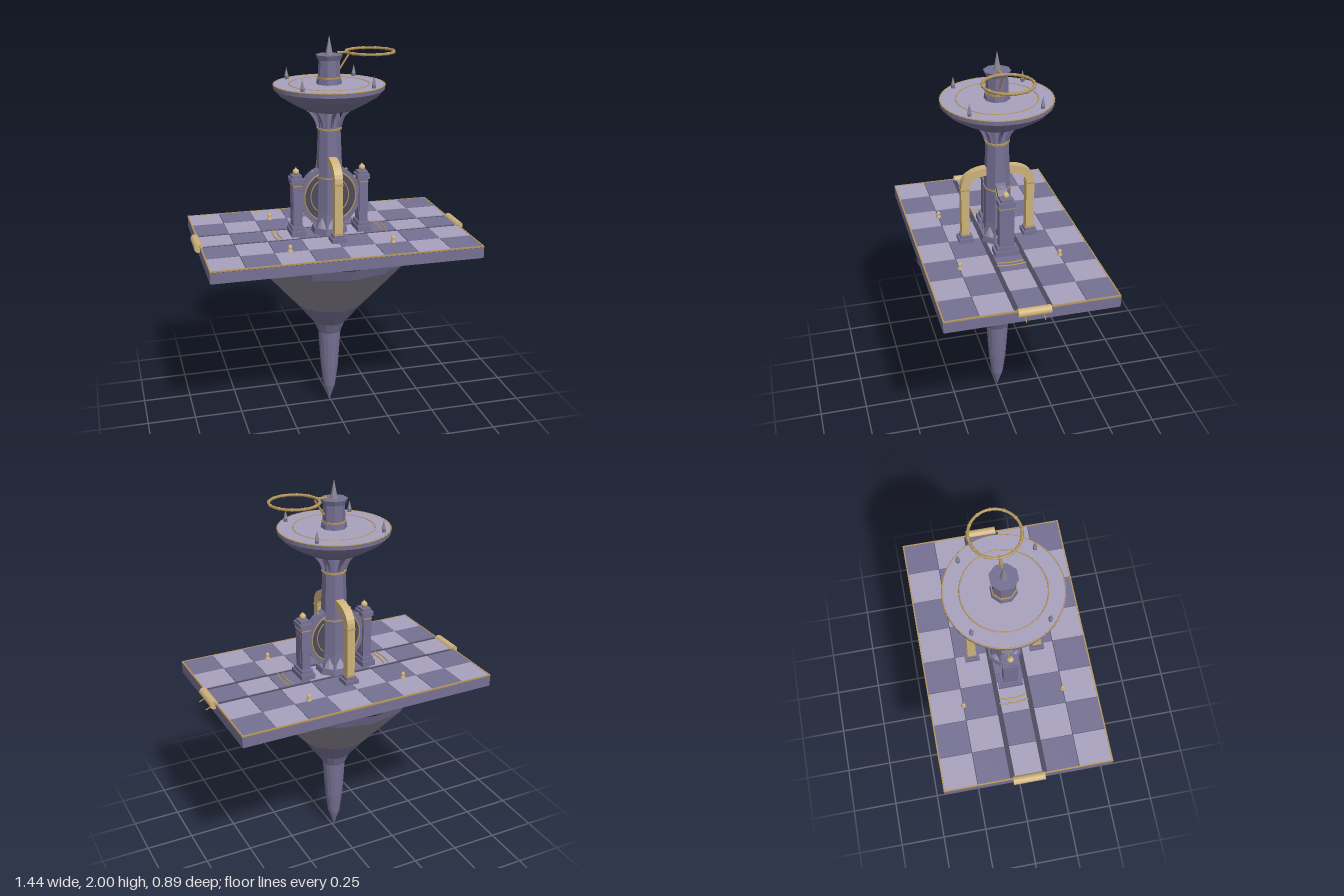
import * as THREE from 'three';

const mat = (name, color, flatShading = false) =>
  Object.assign(new THREE.MeshStandardMaterial({ color }), { name, flatShading });

export function createModel() {
  const M = {
    light: mat('paleStone', 0xa8a1bd, true),
    dark: mat('violetStone', 0x757093, true),
    rock: mat('greyRock', 0x8a8593, true),
    gold: mat('brass', 0xb5965a),
    pale: mat('paleBrass', 0xcdb27c),
    groove: mat('shadowStone', 0x4c495c, true),
  };
  const root = new THREE.Group();
  root.name = 'floatingTower';
  root.position.set(-0.009, 0, -0.004);

  const add = (name, geo, m, x = 0, y = 0, z = 0, parent = root) => {
    const mesh = new THREE.Mesh(geo, m);
    mesh.name = name;
    mesh.position.set(x, y, z);
    parent.add(mesh);
    return mesh;
  };
  const box = (name, w, h, d, m, x, y, z, p) => add(name, new THREE.BoxGeometry(w, h, d), m, x, y, z, p);
  const ring = (name, r, t, y) => {
    const o = add(name, new THREE.TorusGeometry(r, t, 6, 48), M.gold, 0, y, 0);
    o.rotation.x = Math.PI / 2;
    return o;
  };
  const lathe = (pts, seg) => new THREE.LatheGeometry(pts.map(p => new THREE.Vector2(...p)), seg);
  // eight-sided prism with flats facing the axes
  const prism = (name, rTop, rBot, y0, y1, m) => {
    const g = new THREE.CylinderGeometry(rTop, rBot, y1 - y0, 8);
    g.rotateY(Math.PI / 8);
    return add(name, g, m, 0, (y0 + y1) / 2, 0);
  };
  const rod = (name, a, b, r) => add(name,
    new THREE.TubeGeometry(new THREE.LineCurve3(new THREE.Vector3(...a), new THREE.Vector3(...b)), 1, r, 6), M.gold);

  // hanging rock and its long spike
  const rockSides = 14;
  add('rockRim', lathe([[0.418, 0.875], [0.443, 0.932]], rockSides), M.dark);
  add('rockBody', lathe([[0.185, 0.61], [0.295, 0.735], [0.418, 0.875]], rockSides), M.rock);
  add('rockNeck', lathe([[0.062, 0.43], [0.088, 0.49], [0.185, 0.61]], rockSides), M.dark);
  add('rockSpike', lathe([[0, 0.002], [0.032, 0.1], [0.047, 0.22], [0.056, 0.35], [0.06, 0.42], [0.062, 0.48]], 16), M.dark);

  // platform with checkerboard tiles
  const W = 1.368, D = 0.858, top = 0.993;
  box('platform', W, 0.054, D, M.dark, 0, 0.958, 0);
  box('tileBed', W - 0.006, 0.003, D - 0.006, M.groove, 0, 0.9865, 0);
  const rows = [[-0.427, -0.258], [-0.258, -0.092], [-0.071, 0.071], [0.092, 0.258], [0.258, 0.427]];
  const step = W / 8;
  rows.forEach(([z0, z1], r) => {
    for (let c = 0; c < 8; c++)
      box('tile', step - 0.003, 0.008, z1 - z0 - 0.003, (r + c) % 2 ? M.dark : M.light,
        -W / 2 + step * (c + 0.5), top - 0.004, (z0 + z1) / 2);
  });
  for (const s of [-1, 1]) {
    box('longTrim', W + 0.002, 0.007, 0.007, M.gold, 0, top - 0.002, s * (D / 2 - 0.003));
    box('shortTrim', 0.007, 0.007, D, M.gold, s * (W / 2 - 0.003), top - 0.002, 0);
    // floor inlay arcs
    for (const r of [0.27, 0.296]) {
      const a = 0.255;
      const arc = add('floorArc', new THREE.TorusGeometry(r, 0.004, 6, 12, a * 2), M.gold, 0, top, 0);
      arc.rotation.set(-Math.PI / 2, 0, (s > 0 ? 0 : Math.PI) - a);
    }
    // end rollers
    const roll = add('roller', new THREE.CylinderGeometry(0.022, 0.022, 0.16, 16), M.pale, s * 0.69, 0.985, 0);
    roll.rotation.x = Math.PI / 2;
    rod('rollerProng', [0.69, 0.965, s * 0.046], [0.725, 0.95, s * 0.046], 0.003);
    // small floor bollards
    for (const x of [-1, 1]) {
      add('bollard', lathe([[0.013, 0], [0.013, 0.008], [0.007, 0.014], [0.011, 0.022], [0.008, 0.032], [0, 0.038]], 10),
        M.pale, x * 0.265, top, s * 0.257);
    }
  }

  // octagonal tower
  prism('towerPlinth', 0.09, 0.095, top, 1.025, M.dark);
  prism('towerBase', 0.072, 0.08, 1.025, 1.1, M.dark);
  prism('lowerShaft', 0.068, 0.072, 1.1, 1.29, M.dark);
  prism('upperShaft', 0.058, 0.068, 1.29, 1.54, M.dark);
  prism('towerThroat', 0.052, 0.058, 1.54, 1.66, M.dark);
  prism('lowerBand', 0.072, 0.072, 1.286, 1.293, M.gold);
  prism('upperBand', 0.065, 0.065, 1.534, 1.543, M.gold);
  // pointed leaves round the foot
  for (let i = 0; i < 8; i++) {
    const leaf = new THREE.Group();
    leaf.name = 'footLeaf';
    leaf.rotation.y = i * Math.PI / 4;
    const g = new THREE.ConeGeometry(0.03, 0.06, 4);
    g.scale(1, 1, 0.3);
    add('leaf', g, M.light, 0, 1.055, 0.072, leaf);
    root.add(leaf);
  }

  // upright wheel wall behind the shaft
  const rim = new THREE.Shape().absarc(0, 0, 0.16, 0, Math.PI * 2);
  rim.holes.push(new THREE.Path().absarc(0, 0, 0.135, 0, Math.PI * 2, true));
  const rimGeo = new THREE.ExtrudeGeometry(rim, { depth: 0.05, bevelEnabled: false, curveSegments: 24 });
  add('wheelRim', rimGeo, M.dark, 0, 1.185, -0.025);
  const disc = add('wheelPanel', new THREE.CylinderGeometry(0.137, 0.137, 0.024, 36), M.groove, 0, 1.185, 0);
  disc.rotation.x = Math.PI / 2;
  for (const s of [-1, 1]) {
    add('wheelTrim', new THREE.TorusGeometry(0.135, 0.004, 6, 40), M.gold, 0, 1.185, s * 0.025);
    add('innerWheelTrim', new THREE.TorusGeometry(0.1, 0.003, 6, 36), M.gold, 0, 1.185, s * 0.013);
  }
  for (let i = 0; i < 16; i++) {
    const a = (i + 0.5) * Math.PI / 8;
    add('wheelStud', new THREE.SphereGeometry(0.007, 8, 6), M.gold, Math.cos(a) * 0.162, 1.185 + Math.sin(a) * 0.162, 0);
  }

  // outline of a square pipe bending in towards the tower
  const bend = new THREE.Shape();
  bend.moveTo(0.191, 1.02);
  bend.lineTo(0.191, 1.3);
  bend.bezierCurveTo(0.191, 1.36, 0.14, 1.402, 0.05, 1.402);
  bend.lineTo(0.05, 1.362);
  bend.bezierCurveTo(0.115, 1.362, 0.149, 1.33, 0.149, 1.295);
  bend.lineTo(0.149, 1.02);
  const bendGeo = new THREE.ExtrudeGeometry(bend, { depth: 0.042, bevelEnabled: false, curveSegments: 8 });
  bendGeo.translate(0, 0, -0.021);

  for (const s of [-1, 1]) {
    // side pillars
    const p = new THREE.Group();
    p.name = 'sidePillar';
    p.position.x = s * 0.174;
    root.add(p);
    box('pillarFoot', 0.074, 0.028, 0.125, M.dark, 0, 1.007, 0, p);
    box('pillarBase', 0.062, 0.02, 0.1, M.dark, 0, 1.03, 0, p);
    box('pillarShaft', 0.046, 0.23, 0.075, M.dark, 0, 1.155, 0, p);
    box('pillarInset', 0.05, 0.16, 0.04, M.dark, 0, 1.15, 0, p);
    box('pillarNeck', 0.05, 0.005, 0.079, M.gold, 0, 1.255, 0, p);
    box('pillarCap', 0.064, 0.024, 0.085, M.dark, 0, 1.28, 0, p);
    box('pillarTop', 0.05, 0.014, 0.06, M.dark, 0, 1.299, 0, p);
    add('pillarFinial', new THREE.SphereGeometry(0.017, 12, 8), M.pale, 0, 1.322, 0, p);
    add('pillarTip', new THREE.ConeGeometry(0.008, 0.012, 8), M.pale, 0, 1.341, 0, p);

    // bent pipes, front and back
    add('bentPipe', bendGeo, M.pale).rotation.y = -s * Math.PI / 2;
    box('pipeFoot', 0.075, 0.022, 0.075, M.dark, 0, 1.004, s * 0.17);
    box('pipeBase', 0.055, 0.014, 0.055, M.dark, 0, 1.022, s * 0.17);
    for (const y of [1.035, 1.29]) box('pipeCollar', 0.047, 0.006, 0.047, M.gold, 0, y, s * 0.17);
  }

  // broad dish on curved brackets
  add('dishUnderside', lathe([[0, 1.62], [0.06, 1.622], [0.125, 1.637], [0.19, 1.672], [0.248, 1.709], [0.273, 1.737]], 40), M.dark);
  add('dishEdge', lathe([[0.273, 1.737], [0.277, 1.74], [0.277, 1.762]], 40), M.dark);
  add('dishFloor', new THREE.CylinderGeometry(0.276, 0.276, 0.006, 40), M.light, 0, 1.759, 0);
  ring('dishTrim', 0.276, 0.003, 1.761);
  ring('dishInlay', 0.2, 0.003, 1.762);
  for (let i = 0; i < 48; i++) {
    const a = i * Math.PI / 24;
    add('dishBead', new THREE.SphereGeometry(0.005, 6, 4), M.gold, Math.cos(a) * 0.276, 1.76, Math.sin(a) * 0.276);
  }
  const bracket = new THREE.Shape();
  bracket.moveTo(0.05, 1.55);
  bracket.lineTo(0.066, 1.55);
  bracket.quadraticCurveTo(0.078, 1.61, 0.135, 1.645);
  bracket.lineTo(0.105, 1.645);
  bracket.quadraticCurveTo(0.06, 1.61, 0.05, 1.55);
  for (let i = 0; i < 8; i++) {
    const g = new THREE.ExtrudeGeometry(bracket, { depth: 0.012, bevelEnabled: false, curveSegments: 6 });
    g.translate(0, 0, -0.006);
    add('dishBracket', g, M.dark).rotation.y = i * Math.PI / 4;
  }
  for (const x of [-1, 1]) for (const z of [-1, 1]) {
    add('dishSpikeFoot', new THREE.CylinderGeometry(0.01, 0.01, 0.016, 8), M.dark, x * 0.177, 1.77, z * 0.177);
    add('dishSpike', new THREE.ConeGeometry(0.011, 0.045, 8), M.rock, x * 0.177, 1.8, z * 0.177);
  }

  // top turret and spire
  prism('turretFoot', 0.062, 0.065, 1.762, 1.785, M.dark);
  prism('turret', 0.053, 0.056, 1.785, 1.885, M.dark);
  prism('turretBand', 0.06, 0.06, 1.79, 1.798, M.gold);
  prism('turretCap', 0.068, 0.058, 1.88, 1.905, M.dark);
  add('spire', new THREE.ConeGeometry(0.019, 0.095, 8), M.rock, 0, 1.9525, 0);

  // side hoop with studs and its arm
  const hx = 0.209, hy = 1.913, hr = 0.12;
  ring('hoop', hr, 0.007, hy).position.x = hx;
  for (let i = 0; i < 12; i++) {
    const a = i * Math.PI / 6;
    add('hoopStud', new THREE.SphereGeometry(0.009, 8, 6), M.gold, hx + Math.cos(a) * hr, hy, Math.sin(a) * hr);
  }
  rod('hoopArm', [0.04, hy, 0], [hx - hr, hy, 0], 0.007);
  rod('hoopBrace', [0.052, 1.83, 0], [0.105, 1.91, 0], 0.005);
  return root;
}
